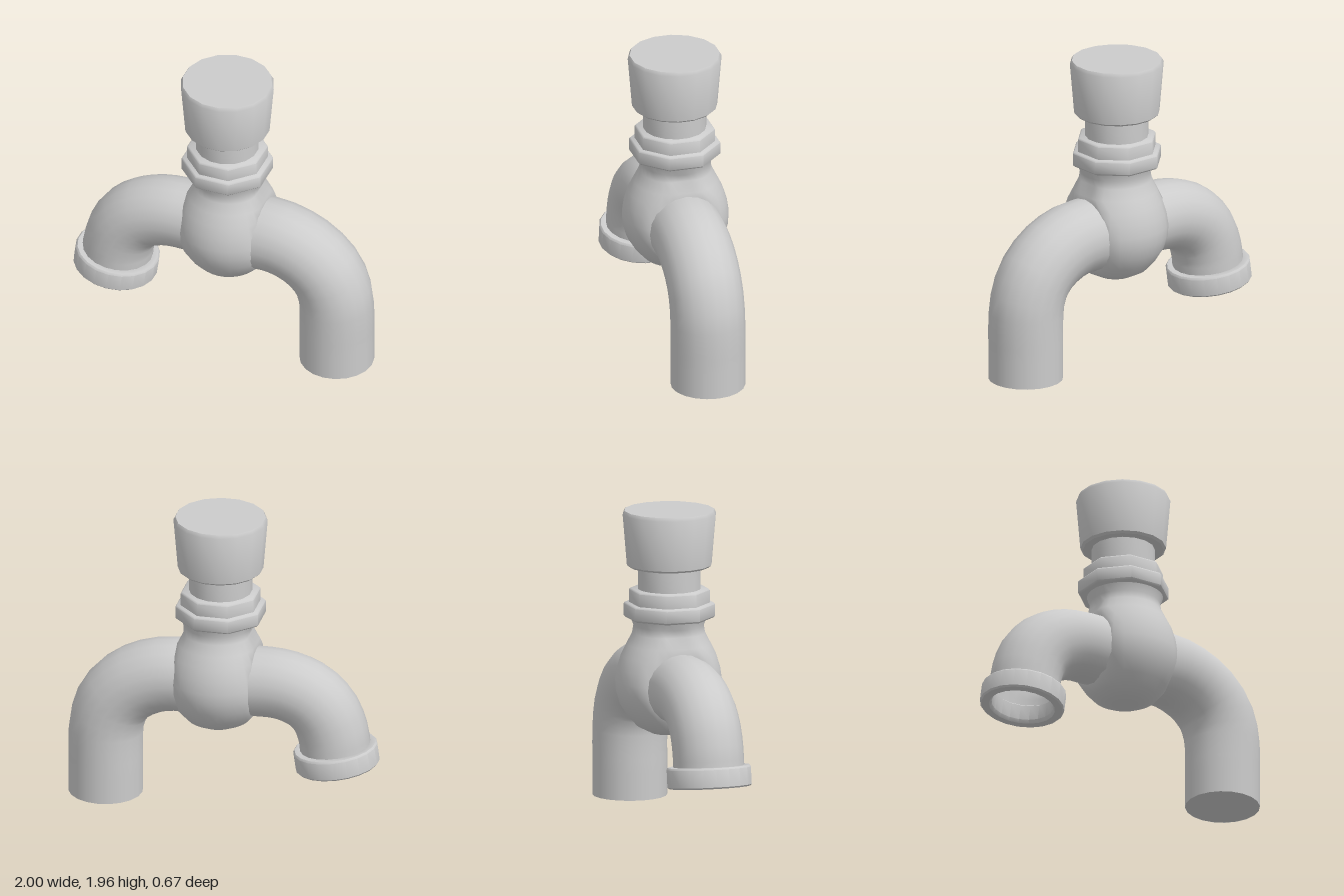
import * as THREE from 'three';
import { mergeVertices, toCreasedNormals } from 'three/addons/utils/BufferGeometryUtils.js';

const material = new THREE.MeshStandardMaterial({ color: 0xcccccc, side: THREE.DoubleSide });
const AXIS_X = 0.022;

function addMesh(parent, name, geometry) {
  const mesh = new THREE.Mesh(geometry, material);
  mesh.name = name;
  parent.add(mesh);
  return mesh;
}

// Turned part from [radius, y] pairs listed bottom to top
function turned(profile, sides, crease = 0.9) {
  const g = new THREE.LatheGeometry(profile.map(([r, y]) => new THREE.Vector2(r, y)), sides);
  g.rotateY(Math.PI / sides);
  return toCreasedNormals(g, crease);
}

// Round pipe along a planar path of [x, y] points
function pipe(path, radius) {
  const curve = new THREE.CatmullRomCurve3(path.map(([x, y]) => new THREE.Vector3(x, y, 0)));
  return new THREE.TubeGeometry(curve, 16, radius, 20);
}

// Valve body: a turned bulb whose two sides are flattened where the pipes join
function bodyGeometry() {
  const profile = [[0, 0.53], [0.11, 0.53], [0.2, 0.575], [0.26, 0.64], [0.31, 0.72], [0.333, 0.8],
    [0.337, 0.87], [0.325, 0.95], [0.3, 1.03], [0.265, 1.1], [0.23, 1.17], [0.222, 1.22], [0.245, 1.28]];
  const g = new THREE.LatheGeometry(profile.map(([r, y]) => new THREE.Vector2(r, y)), 32);
  const p = g.attributes.position;
  for (let i = 0; i < p.count; i++) {
    const y = p.getY(i);
    const neck = Math.max(0, 1 - Math.abs(y - 1.175) / 0.08);
    const limit = 0.247 - 0.045 * neck;
    p.setX(i, THREE.MathUtils.clamp(p.getX(i), -limit, limit));
  }
  g.deleteAttribute('uv');
  g.deleteAttribute('normal');
  const merged = mergeVertices(g, 1e-4);
  merged.computeVertexNormals();
  return merged;
}

export function createModel() {
  const model = new THREE.Group();
  model.name = 'tap';

  addMesh(model, 'valveBody', bodyGeometry()).position.x = 0.035;

  // Eight-sided collars; radii are measured to the corners
  addMesh(model, 'lowerCollar', turned(
    [[0, 1.268], [0.275, 1.268], [0.289, 1.28], [0.289, 1.355], [0.28, 1.365], [0, 1.365]], 8)).position.x = AXIS_X;
  addMesh(model, 'upperCollar', turned(
    [[0.255, 1.36], [0.255, 1.445], [0.245, 1.455], [0, 1.455]], 8)).position.x = AXIS_X;

  // Stem and tapered knob
  addMesh(model, 'stem', turned([[0.2, 1.45], [0.2, 1.61]], 16)).position.x = AXIS_X;
  addMesh(model, 'knob', turned(
    [[0, 1.597], [0.255, 1.597], [0.27, 1.61], [0.297, 1.935], [0.285, 1.957], [0, 1.957]], 16, 0.7)).position.x = AXIS_X;

  // Supply pipe, bending down to the base
  addMesh(model, 'supplyPipe', pipe([[0.05, 0.84], [0.22, 0.84], [0.35, 0.84], [0.475, 0.81],
    [0.605, 0.74], [0.705, 0.63], [0.752, 0.5], [0.763, 0.38], [0.763, 0.2], [0.763, 0]], 0.236));
  const cap = addMesh(model, 'supplyPipeEnd', new THREE.CircleGeometry(0.236, 20));
  cap.rotation.x = Math.PI / 2;
  cap.position.set(0.763, 0.001, 0);

  // Spout, bending down to a slightly tilted mouth
  addMesh(model, 'spout', pipe([[0.02, 0.84], [-0.2, 0.845], [-0.33, 0.845], [-0.44, 0.825],
    [-0.56, 0.77], [-0.655, 0.67], [-0.705, 0.54], [-0.72, 0.43]], 0.224));

  // Hollow ring at the mouth of the spout
  const ring = addMesh(model, 'spoutRing', turned([[0.195, 0.12], [0.195, 0.02], [0.21, 0], [0.258, 0],
    [0.268, 0.01], [0.268, 0.12], [0.258, 0.132], [0.215, 0.134], [0.195, 0.12]], 20, 0.7));
  ring.position.set(-0.735, 0.318, 0);
  ring.rotation.z = -0.14;

  return model;
}
